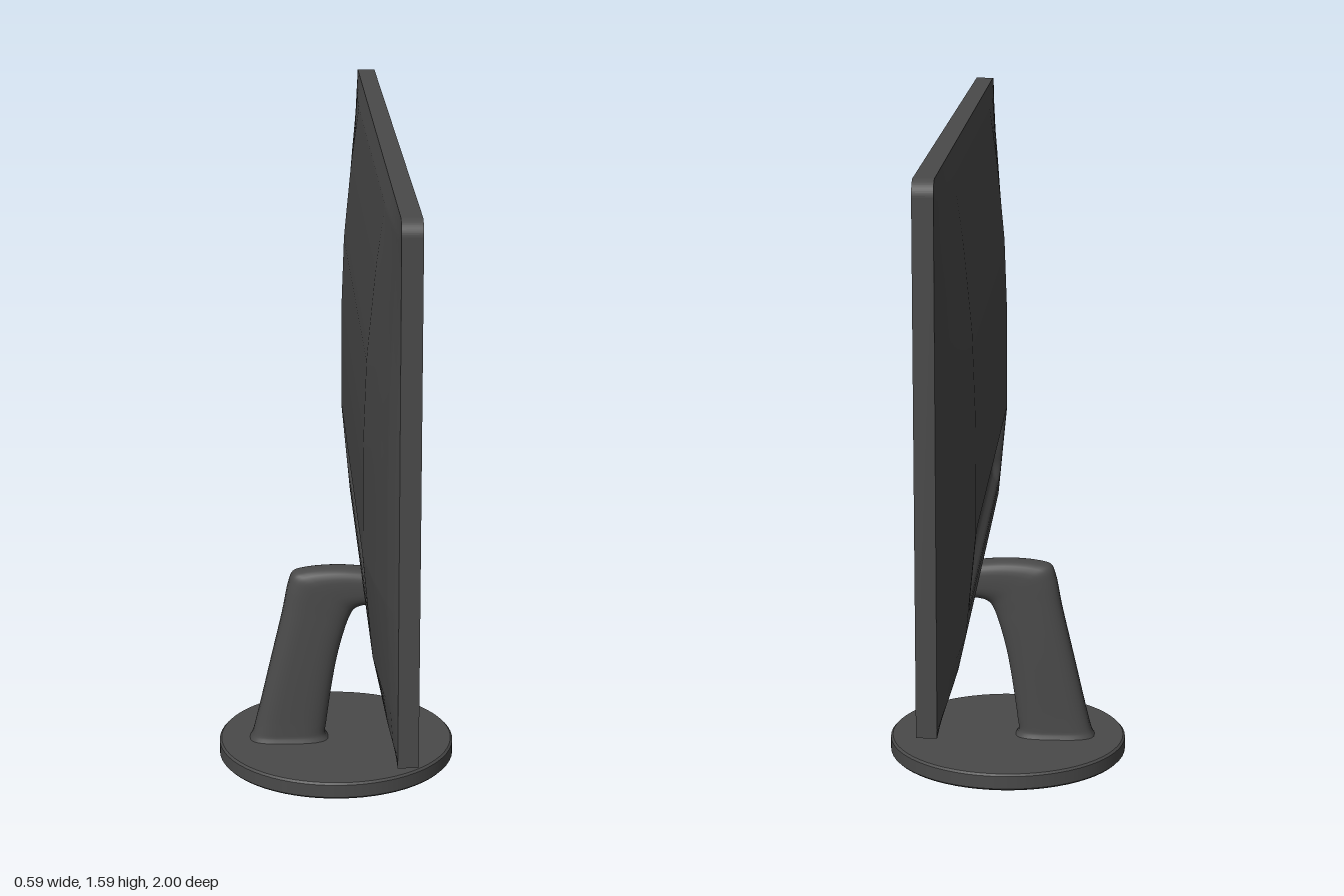
import * as THREE from 'three';

const BOTTOM = 0.395, TOP = 1.585, CORNER = 0.035;
const body = new THREE.MeshStandardMaterial({ color: 0x4a4a4a });
const dark = new THREE.MeshStandardMaterial({ color: 0x1b1b1b });

function part(name, geometry, material = body) {
  const mesh = new THREE.Mesh(geometry, material);
  mesh.name = name;
  return mesh;
}

// Skin over rows of points; a closed skin joins the last column to the first
function loft(rows, closed) {
  const n = rows[0].length, index = [];
  for (let i = 0; i < rows.length - 1; i++) {
    for (let j = 0; j < (closed ? n : n - 1); j++) {
      const k = (j + 1) % n;
      const a = i * n + j, b = i * n + k, c = a + n, d = b + n;
      index.push(a, c, b, b, c, d);
    }
  }
  const geo = new THREE.BufferGeometry();
  geo.setAttribute('position', new THREE.Float32BufferAttribute(rows.flat(2), 3));
  geo.setIndex(index);
  geo.computeVertexNormals();
  return geo;
}

// Linear interpolation through [position, value] pairs
function interpolate(points, t) {
  if (t <= points[0][0]) return points[0][1];
  for (let i = 1; i < points.length; i++) {
    const [a, va] = points[i - 1], [b, vb] = points[i];
    if (t <= b) return va + (vb - va) * (t - a) / (b - a);
  }
  return points[points.length - 1][1];
}

function range(from, to, count) {
  return Array.from({ length: count + 1 }, (_, i) => from + (to - from) * i / count);
}

// Bezel: outline with rounded upper corners and a window for the screen
function bezel() {
  const s = new THREE.Shape();
  s.moveTo(-1, BOTTOM);
  s.lineTo(1, BOTTOM);
  s.lineTo(1, TOP - CORNER);
  s.absarc(1 - CORNER, TOP - CORNER, CORNER, 0, Math.PI / 2);
  s.absarc(-1 + CORNER, TOP - CORNER, CORNER, Math.PI / 2, Math.PI);
  s.closePath();
  const w = new THREE.Path();
  w.moveTo(-0.94, 0.45);
  w.lineTo(-0.94, 1.53);
  w.lineTo(0.94, 1.53);
  w.lineTo(0.94, 0.45);
  w.closePath();
  s.holes.push(w);
  return new THREE.ExtrudeGeometry(s, { depth: 0.045, bevelEnabled: false, curveSegments: 8 })
    .rotateY(Math.PI / 2).translate(0.095, 0, 0);
}

// Back shell: bulge that fades to the rim, with a shallow recess low down
function backShell() {
  const across = [[0.62, 1], [0.8, 0.7], [0.93, 0.35], [0.98, 0.12], [1, 0]];
  const up = [[BOTTOM, 0], [0.42, 0.3], [0.5, 0.6], [0.74, 1], [1, 1],
    [1.2, 0.88], [1.4, 0.55], [1.54, 0.22], [TOP, 0]];
  const half = [...range(0, 0.5, 8), ...range(0.52, 0.62, 20), ...range(0.65, 0.9, 6), ...range(0.92, 1, 8)];
  const zs = [...half.slice().reverse(), ...half.slice(1).map(z => -z)];
  const ys = [...range(BOTTOM, 0.5, 8), ...range(0.51, 0.73, 24), ...range(0.738, 0.75, 3),
    ...range(0.8, 1.5, 16), ...range(1.52, TOP, 10)];
  const r = 0.06;
  return loft(ys.map(y => {
    const over = Math.max(0, y - TOP + CORNER);
    const width = 1 - CORNER + Math.sqrt(Math.max(0, CORNER * CORNER - over * over));
    return zs.map(t => {
      const z = t * width;
      let x = 0.095 - 0.058 * interpolate(across, Math.abs(t)) * interpolate(up, y);
      // Distance inside the recess, whose lower corners are rounded
      const dz = Math.abs(z) - (0.6 - r), dy = 0.54 + r - y;
      const inside = r - (dz > 0 && dy > 0 ? Math.hypot(dz, dy) : Math.max(dz, dy));
      if (y < 0.741) x += Math.max(0, 0.074 - x) * THREE.MathUtils.smoothstep(inside, 0, 0.035);
      return [x, y, z];
    });
  }), false);
}

// Arm: rounded sections between a rear and a front edge curve
function arm() {
  const curve = pts => new THREE.CatmullRomCurve3(pts.map(([x, y]) => new THREE.Vector3(x, y, 0)));
  const rear = curve([[-0.222, 0.035], [-0.212, 0.055], [-0.2, 0.1], [-0.165, 0.25], [-0.135, 0.38],
    [-0.12, 0.455], [-0.108, 0.483], [-0.08, 0.492], [0, 0.498], [0.105, 0.49]]);
  const front = curve([[-0.015, 0.035], [-0.027, 0.055], [-0.024, 0.09], [0, 0.25], [0.02, 0.33],
    [0.034, 0.37], [0.044, 0.387], [0.056, 0.395], [0.075, 0.4], [0.105, 0.4]]);
  const widths = [[0, 0.054], [0.11, 0.046], [0.5, 0.042], [1, 0.04]];
  const round = v => Math.sign(v) * Math.pow(Math.abs(v), 0.65);
  return loft(range(0, 1, 54).map(t => {
    const a = rear.getPoint(t), b = front.getPoint(t), w = interpolate(widths, t);
    return range(0, 2 * Math.PI, 32).slice(0, -1).map(q => {
      const k = 0.5 + 0.5 * round(Math.cos(q));
      return [a.x + (b.x - a.x) * k, a.y + (b.y - a.y) * k, w * round(Math.sin(q))];
    });
  }), true);
}

// Base: flat disc with a narrow chamfer on each rim
function base() {
  const disc = new THREE.CylinderGeometry(0.295, 0.295, 0.032, 64, 1, true).translate(0, 0.021, 0);
  const cap = new THREE.CylinderGeometry(0.29, 0.295, 0.005, 64).translate(0, 0.0395, 0);
  const foot = new THREE.CylinderGeometry(0.295, 0.29, 0.005, 64).translate(0, 0.0025, 0);
  const g = new THREE.Group();
  g.name = 'base';
  g.add(part('baseRim', disc), part('baseTop', cap), part('baseFoot', foot));
  return g;
}

export function createModel() {
  const model = new THREE.Group();
  model.name = 'monitor';
  const screen = new THREE.PlaneGeometry(1.88, 1.08).rotateY(Math.PI / 2).translate(0.136, 0.99, 0);
  model.add(
    part('bezel', bezel()),
    part('screen', screen, dark),
    part('backShell', backShell()),
    part('standArm', arm()),
    base()
  );
  return model;
}
